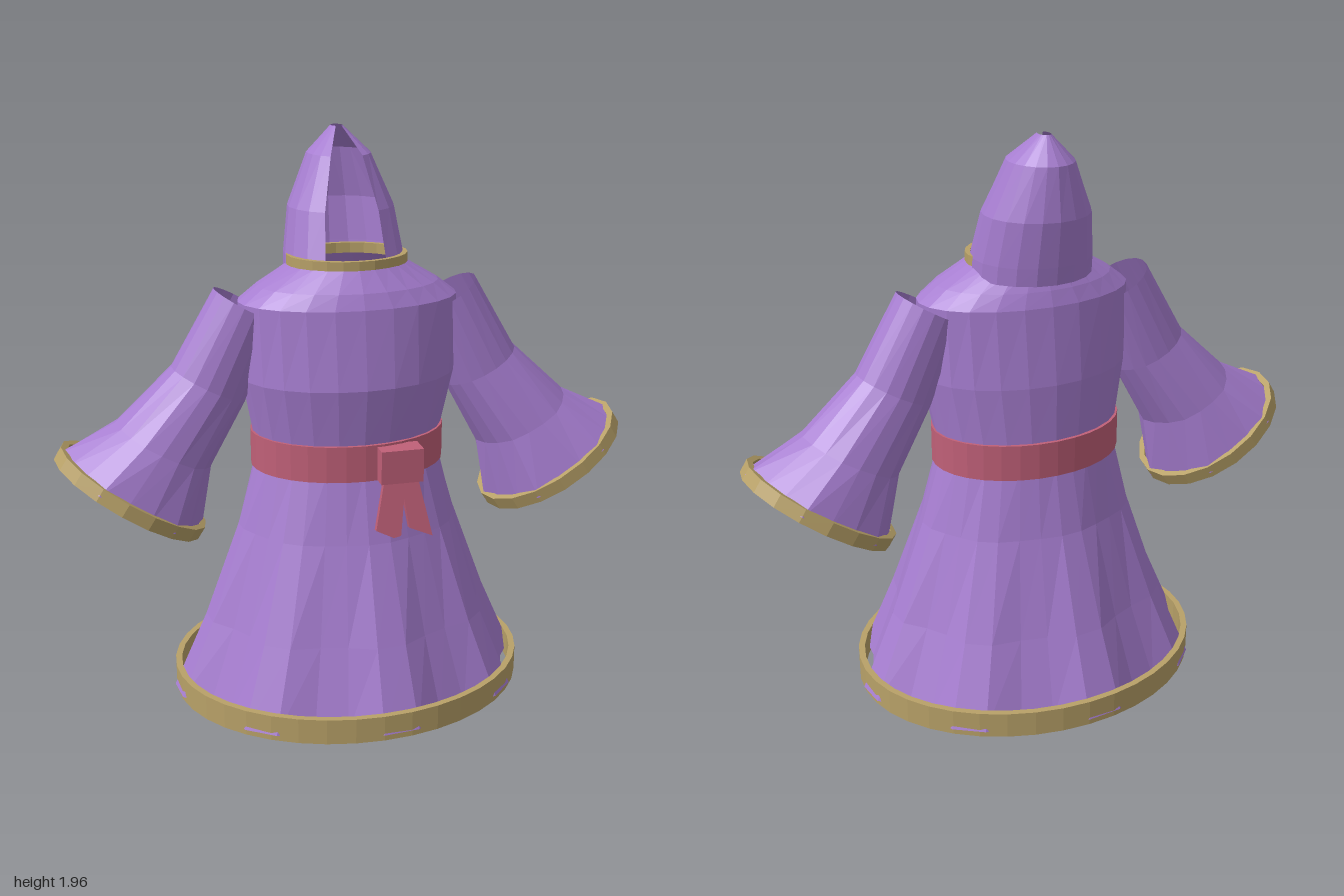
import * as THREE from 'three';

const mat = (name, color) => {
  const m = new THREE.MeshStandardMaterial({ color, side: THREE.DoubleSide, flatShading: true });
  m.name = name;
  return m;
};

// Skin a list of rings, each a function angle -> [x, y, z], ordered bottom to top
function loft(rings, n, from = 0, to = Math.PI * 2) {
  const pos = [], idx = [], w = n + 1;
  rings.forEach((ring, i) => {
    for (let j = 0; j <= n; j++) {
      pos.push(...ring(from + (to - from) * j / n));
      if (i && j) {
        const a = (i - 1) * w + j - 1, b = a + w;
        idx.push(a, b, a + 1, a + 1, b, b + 1);
      }
    }
  });
  const g = new THREE.BufferGeometry();
  g.setAttribute('position', new THREE.Float32BufferAttribute(pos, 3));
  g.setIndex(idx);
  g.computeVertexNormals();
  return g;
}

// Horizontal ellipse with eight cloth folds of the given depth
const FOLD_PHASE = THREE.MathUtils.degToRad(84.375);
const oval = (y, rx, rz, cz = 0, fold = 0) => (t) => {
  const k = 1 + fold * Math.SQRT2 * Math.cos(8 * (t - FOLD_PHASE));
  return [rx * k * Math.cos(t), y, cz + rz * k * Math.sin(t)];
};

// Closed band with wall thickness
const band = (y0, y1, rx, rz, th, n) => loft([
  oval(y0, rx, rz), oval(y1, rx, rz),
  oval(y1, rx - th, rz - th), oval(y0, rx - th, rz - th), oval(y0, rx, rz),
], n);

// Tilted sleeve section centred on (cx, cy) with half axis (hx, hy) and half depth hz
const section = (s, cx, cy, hx, hy, hz, fold = 0) => (t) => {
  const k = 1 + fold * Math.cos(6 * t), c = Math.cos(t) * k;
  return [s * (cx + hx * c), cy + hy * c, s * hz * k * Math.sin(t)];
};

export function createModel() {
  const model = new THREE.Group();
  model.name = 'hoodedRobe';
  const purple = mat('purpleCloth', 0xa67dd0);
  const gold = mat('goldTrim', 0xb8a168);
  const red = mat('redSash', 0xc06078);

  const add = (name, geometry, material, parent = model) => {
    const m = new THREE.Mesh(geometry, material);
    m.name = name;
    parent.add(m);
    return m;
  };

  // Folded skirt and hem
  add('skirt', loft([
    oval(0.02, 0.605, 0.495, 0, 0.045),
    oval(0.29, 0.495, 0.4, 0.005, 0.035),
    oval(0.62, 0.385, 0.295, 0.005, 0.012),
    oval(0.86, 0.32, 0.24),
  ], 32), purple);
  add('hem', band(0, 0.09, 0.625, 0.515, 0.022, 40), gold);

  // Torso up to the open neck
  add('torso', loft([
    oval(0.84, 0.322, 0.242),
    oval(0.95, 0.33, 0.243),
    oval(1.15, 0.368, 0.258, 0.016),
    oval(1.41, 0.375, 0.225, 0.014),
    oval(1.46, 0.31, 0.205, 0.012),
    oval(1.525, 0.2, 0.165, 0.004),
  ], 24), purple);
  add('collar', band(1.52, 1.555, 0.205, 0.168, 0.018, 24), gold);

  // Hood shell, open at the front
  const gap = Math.PI / 6;
  add('hood', loft([
    oval(1.49, 0.205, 0.195, -0.04),
    oval(1.55, 0.203, 0.195, -0.048),
    oval(1.7, 0.18, 0.176, -0.084),
    oval(1.87, 0.107, 0.128, -0.112),
    oval(1.955, 0.02, 0.033, -0.137),
  ], 16, Math.PI / 2 + gap, Math.PI * 2.5 - gap), purple);

  // Sash, knot and hanging tails
  add('sash', band(0.83, 0.955, 0.337, 0.255, 0.02, 32), red);
  add('sashKnot', new THREE.BoxGeometry(0.145, 0.115, 0.08).translate(0.113, 0.89, 0.265), red);
  const tails = new THREE.Shape([
    [0.055, 0], [0.02, -0.17], [0.08, -0.2], [0.105, -0.195], [0.12, -0.07],
    [0.135, -0.17], [0.215, -0.205], [0.17, 0],
  ].map(([x, y]) => new THREE.Vector2(x, y)));
  const tailMesh = add('sashTails',
    new THREE.ExtrudeGeometry(tails, { depth: 0.022, bevelEnabled: false }), red);
  tailMesh.position.set(0, 0.84, 0.268);
  tailMesh.rotation.x = -0.17;

  // Bell sleeves with cuffs
  for (const s of [1, -1]) {
    const side = s > 0 ? 'left' : 'right';
    add(side + 'Sleeve', loft([
      section(s, 0.754, 0.772, 0.226, 0.149, 0.241, 0.045),
      section(s, 0.635, 0.935, 0.155, 0.085, 0.175, 0.02),
      section(s, 0.478, 1.135, 0.122, 0.065, 0.122),
      section(s, 0.35, 1.398, 0.1, 0.057, 0.11),
    ], 18), purple);
    // Cuff wall: outer bottom, outer top, inner top, inner bottom
    const lip = (k, up) => section(s, 0.765 - 0.54 * up, 0.755 + 0.84 * up,
      0.235 * k, 0.155 * k, 0.25 * k);
    add(side + 'Cuff', loft(
      [lip(1, 0), lip(1, 0.048), lip(0.92, 0.048), lip(0.92, 0), lip(1, 0)], 18), gold);
  }
  return model;
}
